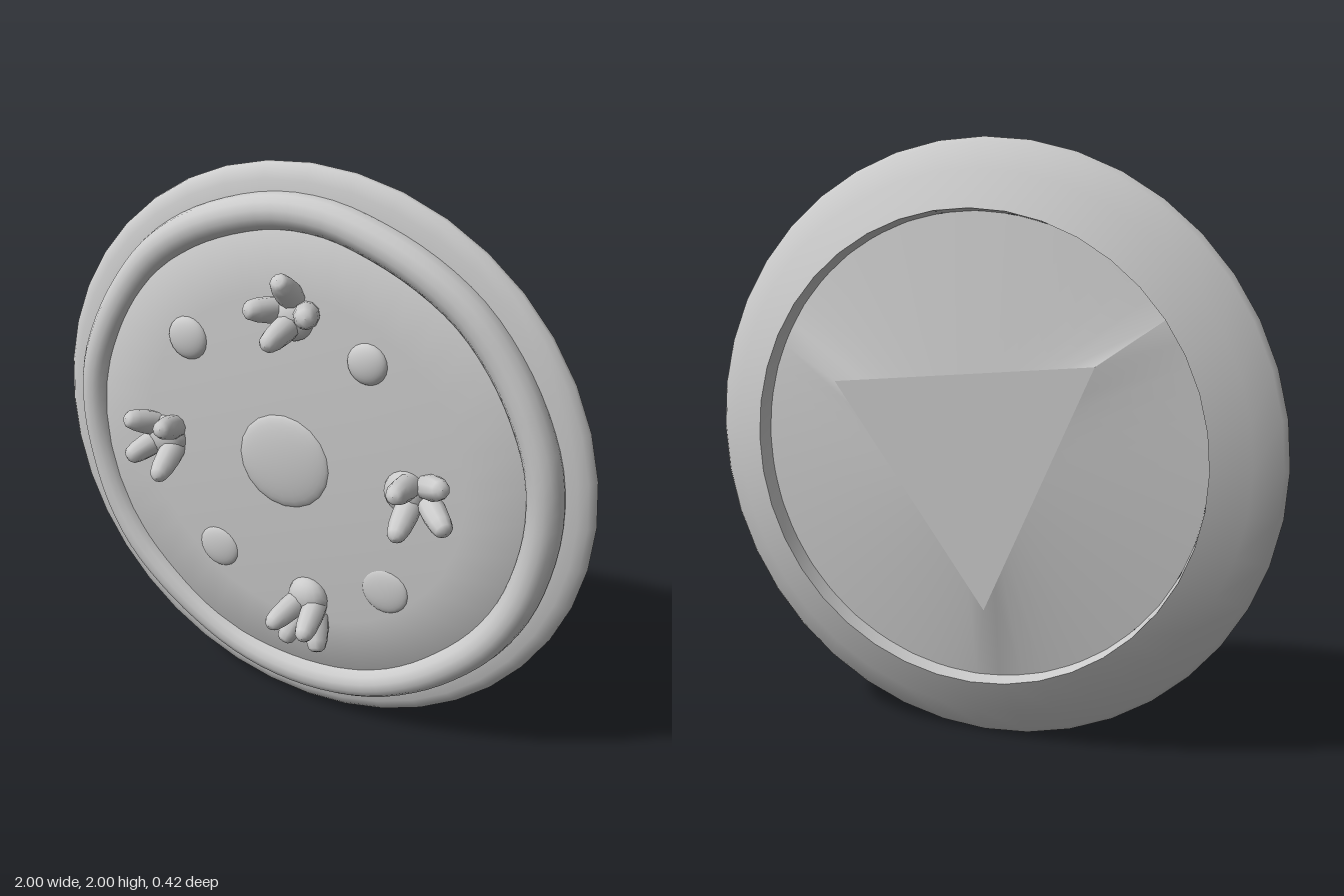
import * as THREE from 'three';
import { toCreasedNormals } from 'three/addons/utils/BufferGeometryUtils.js';

const MID = 1; // height of the disc's centre
const COVER_R = 0.52; // corner radius of the back triangle
const COVER_Z = -0.209;
const COVER_ANGLE = THREE.MathUtils.degToRad(24); // direction of its first corner
const THIRD = (Math.PI * 2) / 3;

export function createModel() {
  const group = new THREE.Group();
  const material = new THREE.MeshStandardMaterial({ color: 0xcccccc });
  const add = (parent, name, geometry, x = 0, y = 0, z = 0) => {
    const mesh = new THREE.Mesh(geometry, material);
    mesh.name = name;
    mesh.position.set(x, y, z);
    parent.add(mesh);
    return mesh;
  };

  // Turned plate: back lip, sloping flank, soft rim and a slightly domed front
  const profile = [
    [0.77, -0.13], [0.78, -0.192], [0.9, -0.133], [0.985, -0.079], [1, -0.062], [0.997, -0.05],
    [0.98, -0.034], [0.95, -0.022], [0.9, -0.015], [0.82, -0.005],
    [0.8, 0.012], [0.6, 0.027], [0.35, 0.039], [0, 0.045],
  ].map(([r, z]) => new THREE.Vector2(r, z));
  const plate = new THREE.LatheGeometry(profile, 40);
  plate.rotateX(Math.PI / 2);
  add(group, 'plate', toCreasedNormals(plate, 1.2), 0, MID, 0);

  // Sunken back surface rising from inside the lip to the edges of the triangle
  const back = new THREE.RingGeometry(0.5, 0.77, 60, 1, THREE.MathUtils.degToRad(36));
  back.rotateY(Math.PI);
  const pos = back.attributes.position;
  for (let i = 0; i < pos.count; i++) {
    const a = Math.atan2(pos.getY(i), pos.getX(i));
    if (Math.hypot(pos.getX(i), pos.getY(i)) > 0.6) {
      pos.setZ(i, -0.135);
    } else {
      const fromCorner = (a - COVER_ANGLE + 3 * THIRD) % THIRD;
      const r = (COVER_R / 2) / Math.cos(fromCorner - THIRD / 2);
      pos.setXYZ(i, r * Math.cos(a), r * Math.sin(a), COVER_Z);
    }
  }
  back.computeVertexNormals();
  add(group, 'backDish', back, 0, MID, 0);

  // Triangular cover closing the back
  const triangle = new THREE.Shape();
  for (let i = 0; i < 3; i++) {
    const a = COVER_ANGLE + i * THIRD;
    triangle[i ? 'lineTo' : 'moveTo'](COVER_R * Math.cos(a), COVER_R * Math.sin(a));
  }
  triangle.closePath();
  const cover = new THREE.ExtrudeGeometry(triangle, { depth: 0.01, bevelEnabled: false });
  add(group, 'backTriangle', cover, 0, MID, COVER_Z);

  // Hand-shaped raised ring near the edge of the front
  const ringPoints = [];
  for (let i = 0; i < 30; i++) {
    const a = (i / 30) * Math.PI * 2;
    const r = 0.85 + 0.003 * Math.sin(9 * a) + 0.003 * Math.sin(4 * a + 1);
    ringPoints.push(new THREE.Vector3(r * Math.cos(a), r * Math.sin(a),
      -0.012 + 0.007 * Math.cos(a) + 0.004 * Math.sin(7 * a)));
  }
  const ringPath = new THREE.CatmullRomCurve3(ringPoints, true);
  add(group, 'frontRing', new THREE.TubeGeometry(ringPath, 90, 0.06, 14, true), 0, MID, 0);

  // Low domes: x, y, radius, base z, height
  const domes = [
    [-0.045, 1.01, 0.172, 0.036, 0.034], [-0.42, 1.375, 0.076, 0.026, 0.032],
    [0.25, 1.42, 0.07, 0.028, 0.032], [-0.32, 0.595, 0.08, 0.026, 0.025],
    [0.335, 0.61, 0.086, 0.026, 0.022],
  ];
  domes.forEach(([x, y, r, z, h], i) => {
    const dome = new THREE.SphereGeometry(1, 20, 8, 0, Math.PI * 2, 0, Math.PI / 2);
    dome.rotateX(Math.PI / 2);
    dome.scale(r, r, h);
    add(group, i ? 'smallDome' : 'centreDome', dome, x, y, z);
  });

  // Blunt tapered prong running from one point to another
  const addProng = (parent, from, to) => {
    const dir = to.clone().sub(from);
    const length = dir.length();
    const outline = [[0.042, 0], [0.043, 0.35], [0.038, 0.7], [0.03, 0.9], [0.018, 0.98], [0, 1]]
      .map(([r, t]) => new THREE.Vector2(r, t * length));
    const prong = add(parent, 'prong', new THREE.LatheGeometry(outline, 10));
    prong.position.copy(from);
    prong.quaternion.setFromUnitVectors(new THREE.Vector3(0, 1, 0), dir.normalize());
  };

  // Pronged clusters: root on the panel, then the tip of each prong
  const clusters = [
    { name: 'topCluster', root: [-0.015, 1.525],
      tips: [[-0.015, 1.68, 0.13], [-0.12, 1.57, 0.15], [0.095, 1.58, 0.15], [-0.015, 1.49, 0.21]] },
    { name: 'rightCluster', root: [-0.52, 0.99],
      tips: [[-0.62, 1.075, 0.14], [-0.45, 1.09, 0.18], [-0.615, 0.93, 0.15], [-0.46, 0.91, 0.2]] },
    { name: 'leftCluster', root: [0.4, 1.01],
      tips: [[0.56, 1.1, 0.12], [0.58, 0.95, 0.12], [0.44, 0.93, 0.2], [0.43, 1.08, 0.2]] },
    { name: 'bottomCluster', root: [0.045, 0.5],
      tips: [[-0.02, 0.325, 0.1], [0.115, 0.325, 0.1], [-0.02, 0.45, 0.2], [0.11, 0.44, 0.2]] },
  ];
  for (const { name, root, tips } of clusters) {
    const cluster = new THREE.Group();
    cluster.name = name;
    group.add(cluster);
    const base = add(cluster, 'clusterBase', new THREE.SphereGeometry(0.075, 14, 10), ...root, 0.035);
    base.scale.z = 0.7;
    for (const tip of tips) {
      // Each prong starts towards its own side of the root
      const end = new THREE.Vector3(...tip);
      const start = new THREE.Vector3(...root, 0.03);
      start.x += (end.x - start.x) * 0.45;
      start.y += (end.y - start.y) * 0.4;
      addProng(cluster, start, end);
    }
  }
  return group;
}
